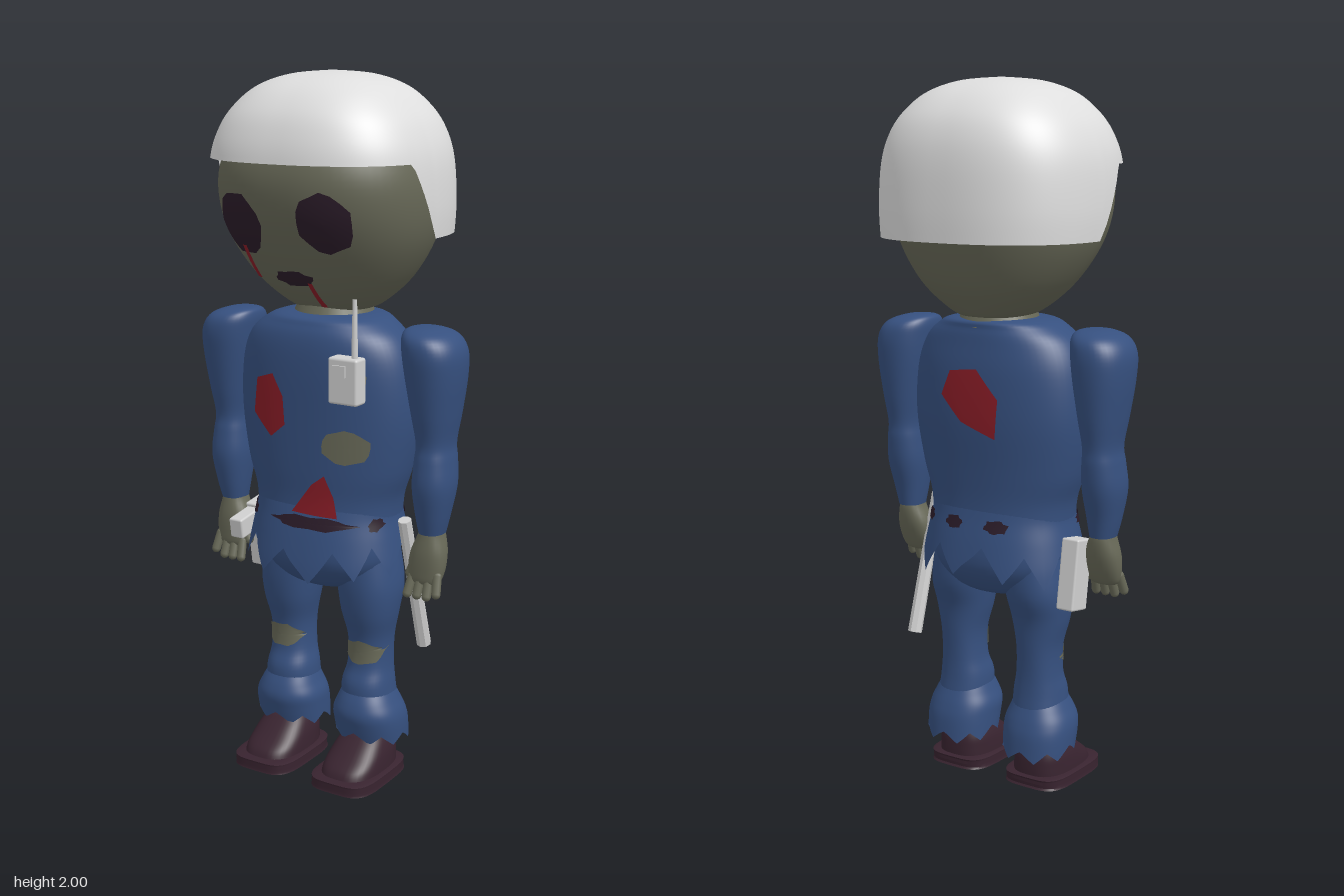
import * as THREE from 'three';
import { toCreasedNormals } from 'three/addons/utils/BufferGeometryUtils.js';
import { RoundedBoxGeometry } from 'three/addons/geometries/RoundedBoxGeometry.js';

const mat = (name, color) => {
  const m = new THREE.MeshStandardMaterial({ color, side: THREE.DoubleSide });
  m.name = name;
  return m;
};

// A cross-section is [y, centre x, half width, back z, front z]; sections run bottom to top.
function sample(S, v) {
  const i = Math.min(Math.floor(v), S.length - 2), t = v - i;
  const [a, b, c, d] = [S[Math.max(i - 1, 0)], S[i], S[i + 1], S[Math.min(i + 2, S.length - 1)]];
  return b.map((p, k) => p + 0.5 * t * (c[k] - a[k] + t * (2 * a[k] - 5 * p + 4 * c[k] - d[k]
    + t * (3 * (p - c[k]) + d[k] - a[k]))));
}

// Position along the sections for a given height
function vAt(S, y) {
  let lo = 0, hi = S.length - 1;
  for (let k = 0; k < 30; k++) {
    const m = (lo + hi) / 2;
    if (sample(S, m)[0] < y) lo = m; else hi = m;
  }
  return lo;
}

// Smooth skin over superelliptic sections; edge(angle) gives a shaped lower rim
function loft(S, { n = 2.3, segs = 40, sub = 5, edge } = {}) {
  const pos = [], idx = [], rows = (S.length - 1) * sub;
  const pw = (c) => Math.sign(c) * Math.abs(c) ** (2 / n);
  for (let j = 0; j <= rows; j++) for (let i = 0; i < segs; i++) {
    const a = (i / segs) * Math.PI * 2, v0 = edge ? vAt(S, edge(a)) : 0;
    const [y, cx, hx, zb, zf] = sample(S, v0 + (S.length - 1 - v0) * j / rows);
    pos.push(cx + Math.max(hx, 0) * pw(Math.cos(a)), y, (zb + zf) / 2 + Math.max(zf - zb, 0) / 2 * pw(Math.sin(a)));
    if (j < rows) {
      const p = j * segs + i, q = j * segs + (i + 1) % segs;
      idx.push(p, p + segs, q, q, p + segs, q + segs);
    }
  }
  const g = new THREE.BufferGeometry();
  g.setAttribute('position', new THREE.Float32BufferAttribute(pos, 3));
  g.setIndex(idx);
  g.computeVertexNormals();
  return g;
}

// Thin painted patch: an outline in x, y laid on the front (side 1) or back (-1) of a loft
function patch(S, outline, side = 1, n = 2.3, lift = 0.005) {
  const ring = [], pos = [], idx = [], K = 6;
  outline.forEach((p, i) => {
    const q = outline[(i + 1) % outline.length];
    for (let k = 0; k < 4; k++) ring.push([p[0] + (q[0] - p[0]) * k / 4, p[1] + (q[1] - p[1]) * k / 4]);
  });
  const N = ring.length;
  const mx = ring.reduce((s, p) => s + p[0], 0) / N, my = ring.reduce((s, p) => s + p[1], 0) / N;
  for (let k = 0; k <= K; k++) ring.forEach((p, i) => {
    const x = mx + (p[0] - mx) * k / K, y = my + (p[1] - my) * k / K;
    const [, cx, hx, zb, zf] = sample(S, vAt(S, y));
    const r = Math.max(0, 1 - Math.abs((x - cx) / hx) ** n) ** (1 / n);
    pos.push(x, y, (zb + zf) / 2 + side * ((zf - zb) / 2 * r + lift));
    if (k < K) {
      const a = k * N + i, b = k * N + (i + 1) % N;
      if (side > 0) idx.push(a, a + N, b, b, a + N, b + N);
      else idx.push(a, b, a + N, b, b + N, a + N);
    }
  });
  const g = new THREE.BufferGeometry();
  g.setAttribute('position', new THREE.Float32BufferAttribute(pos, 3));
  g.setIndex(idx);
  g.computeVertexNormals();
  return g;
}

// Slightly ragged oval outline, counter-clockwise
const blob = (x, y, rx, ry, wob = 0.05) => Array.from({ length: 16 }, (_, i) => {
  const a = i / 16 * Math.PI * 2, r = 1 + wob * Math.sin(i * 2.4 + x * 40);
  return [x + rx * r * Math.cos(a), y + ry * r * Math.sin(a)];
});
const strip = (x, y0, y1, w) => [[x - w, y0], [x + w, y0], [x + w * 0.8, y1], [x - w * 0.8, y1]];
const mirror = (S, s) => S.map(([y, cx, ...r]) => [y, cx * s, ...r]);

const HEAD = [[1.35, 0, 0, -0.03, -0.03], [1.355, 0, 0.08, -0.11, 0.05], [1.38, 0, 0.14, -0.145, 0.1],
  [1.45, 0, 0.218, -0.2, 0.17], [1.55, 0, 0.28, -0.243, 0.235], [1.65, 0, 0.303, -0.27, 0.277],
  [1.75, 0, 0.296, -0.275, 0.284], [1.85, 0, 0.25, -0.24, 0.24], [1.94, 0, 0.14, -0.14, 0.14], [1.96, 0, 0, 0, 0]];
const HELMET = [[1.55, 0, 0.318, -0.297, 0.29], [1.65, 0, 0.325, -0.299, 0.296], [1.77, 0, 0.318, -0.293, 0.296],
  [1.85, 0, 0.292, -0.276, 0.277], [1.91, 0, 0.25, -0.243, 0.243], [1.96, 0, 0.19, -0.185, 0.185],
  [1.99, 0, 0.105, -0.105, 0.105], [2, 0, 0, 0, 0]];
const TORSO = [[0.76, 0, 0.215, -0.14, 0.165], [0.84, 0, 0.222, -0.136, 0.16], [0.93, 0, 0.25, -0.14, 0.163],
  [1.07, 0, 0.272, -0.15, 0.166], [1.2, 0, 0.266, -0.148, 0.168], [1.28, 0, 0.24, -0.138, 0.163],
  [1.325, 0, 0.195, -0.13, 0.148], [1.35, 0, 0.135, -0.115, 0.12], [1.357, 0, 0, 0, 0]];
const HEM = [[0.6, 0, 0.248, -0.18, 0.205], [0.66, 0, 0.243, -0.172, 0.198], [0.73, 0, 0.23, -0.158, 0.184],
  [0.79, 0, 0.217, -0.143, 0.169], [0.83, 0, 0.217, -0.134, 0.158]];
const HIPS = [[0.56, 0, 0, 0.02, 0.02], [0.567, 0, 0.08, -0.07, 0.08], [0.6, 0, 0.16, -0.115, 0.125],
  [0.67, 0, 0.205, -0.145, 0.16], [0.8, 0, 0.2, -0.13, 0.15]];
const ARM = [[0.765, 0.333, 0.035, -0.03, 0.055], [0.82, 0.335, 0.046, -0.04, 0.068], [0.9, 0.337, 0.057, -0.06, 0.082],
  [0.97, 0.336, 0.053, -0.067, 0.076], [1.02, 0.335, 0.049, -0.067, 0.07], [1.1, 0.335, 0.062, -0.08, 0.085],
  [1.2, 0.334, 0.077, -0.092, 0.102], [1.27, 0.33, 0.081, -0.094, 0.11], [1.312, 0.317, 0.07, -0.08, 0.1],
  [1.332, 0.3, 0.042, -0.04, 0.065], [1.336, 0.3, 0, 0.015, 0.015]];
const PALM = [[0.62, 0.325, 0, 0.04, 0.04], [0.626, 0.325, 0.04, 0.015, 0.058], [0.66, 0.325, 0.054, -0.005, 0.062],
  [0.71, 0.328, 0.052, -0.022, 0.062], [0.76, 0.332, 0.036, -0.028, 0.055], [0.79, 0.333, 0.03, -0.02, 0.05]];
const LEG = [[0.1, 0.133, 0.06, -0.06, 0.06], [0.2, 0.133, 0.075, -0.075, 0.085], [0.28, 0.13, 0.073, -0.068, 0.09],
  [0.34, 0.132, 0.063, -0.065, 0.07], [0.42, 0.133, 0.063, -0.068, 0.07], [0.5, 0.133, 0.08, -0.075, 0.09],
  [0.58, 0.13, 0.09, -0.098, 0.1], [0.68, 0.115, 0.09, -0.1, 0.1]];
const CUFF = [[0.09, 0.135, 0.1, -0.105, 0.085], [0.16, 0.135, 0.103, -0.1, 0.105], [0.2, 0.133, 0.1, -0.09, 0.113],
  [0.235, 0.132, 0.085, -0.076, 0.104], [0.27, 0.13, 0.068, -0.06, 0.085]];
const SOLE = [[0, 0.133, 0, 0.07, 0.07], [0.003, 0.133, 0.09, -0.06, 0.2], [0.012, 0.133, 0.098, -0.068, 0.213],
  [0.03, 0.133, 0.098, -0.068, 0.213], [0.04, 0.133, 0.088, -0.06, 0.2], [0.042, 0.133, 0, 0.07, 0.07]];
const SHOE = [[0.035, 0.133, 0.085, -0.06, 0.195], [0.06, 0.133, 0.083, -0.06, 0.18], [0.09, 0.133, 0.078, -0.058, 0.14],
  [0.12, 0.133, 0.066, -0.05, 0.1], [0.135, 0.133, 0.05, -0.04, 0.075], [0.14, 0.133, 0, 0.02, 0.02]];

export function createModel() {
  const model = new THREE.Group();
  const skin = mat('grey green skin', 0x676857), cloth = mat('blue cloth', 0x36507f), white = mat('white shell', 0xdedede),
    dark = mat('dark hollow', 0x2b1c29), blood = mat('blood red', 0x8a1d27), leather = mat('dark shoe', 0x38232f),
    gear = mat('light grey gear', 0xcfcfcf);
  const add = (name, geo, m, parent = model) => {
    const mesh = new THREE.Mesh(geo, m);
    mesh.name = name;
    parent.add(mesh);
    return mesh;
  };

  // Head and face
  add('head', loft(HEAD, { segs: 64 }), skin);
  add('neck', new THREE.CylinderGeometry(0.1, 0.12, 0.05, 32).translate(0, 1.355, -0.01), skin);
  add('rightEye', patch(HEAD, blob(-0.14, 1.605, 0.084, 0.085)), dark);
  add('leftEye', patch(HEAD, blob(0.13, 1.62, 0.072, 0.08)), dark);
  add('mouth', patch(HEAD, blob(-0.005, 1.46, 0.06, 0.022, 0.12)), dark);
  add('eyeDrip', patch(HEAD, strip(-0.14, 1.45, 1.545, 0.01), 1, 2.3, 0.009), blood);
  add('mouthDrip', patch(HEAD, strip(0.04, 1.375, 1.45, 0.008), 1, 2.3, 0.009), blood);

  // Helmet: high over the face, low at the sides and back
  const helmetEdge = (a) => 1.57 + 0.2 * THREE.MathUtils.clamp(
    (0.3 * Math.sign(Math.sin(a)) * Math.abs(Math.sin(a)) ** 0.8 - 0.005) / 0.1, 0, 1);
  add('helmet', loft(HELMET, { n: 2.5, segs: 128, edge: helmetEdge }), white);

  // Body with torn jacket hem
  add('torso', loft(TORSO, { segs: 64 }), cloth);
  add('hips', loft(HIPS), cloth);
  const tooth = (a, k) => Math.abs(((a * k / Math.PI / 2) % 1) * 2 - 1);
  add('jacketHem', loft(HEM, { segs: 132, edge: (a) => 0.625 + 0.085 * tooth(a, 11) + 0.012 * Math.sin(a * 3) }), cloth);

  // Stains and holes
  add('chestStain', patch(TORSO, [[-0.1, 1.01], [-0.05, 1.05], [-0.055, 1.13], [-0.09, 1.19], [-0.15, 1.17], [-0.165, 1.07]]), blood);
  add('bellyStain', patch(TORSO, [[-0.03, 0.805], [0.11, 0.8], [0.1, 0.86], [0.075, 0.92], [0.035, 0.89]]), blood);
  add('backStain', patch(TORSO, [[-0.08, 1.03], [0.03, 1.07], [0.1, 1.14], [0.07, 1.21], [-0.02, 1.22], [-0.09, 1.14]].map(([x, y]) => [x, y]), -1), blood);
  add('bellyHole', patch(TORSO, blob(0.135, 1.005, 0.068, 0.048)), skin);
  add('chestHole', patch(TORSO, blob(0.145, 1.19, 0.048, 0.042)), skin);
  for (const [x, w, side] of [[0.035, 0.12, 1], [-0.19, 0.025, 1], [0.2, 0.012, 1], [-0.08, 0.035, -1], [0.06, 0.03, -1], [0.17, 0.02, -1]])
    add('waistTear', patch(HEM, blob(x, 0.782, w, 0.018, 0.15), side, 2.3, 0.007), dark);

  // Limbs
  for (const s of [1, -1]) {
    const side = s > 0 ? 'left' : 'right';
    const leg = mirror(LEG, s);
    add(side + 'Arm', loft(mirror(ARM, s)), cloth);
    const hand = new THREE.Group();
    hand.name = side + 'Hand';
    model.add(hand);
    add('palm', loft(mirror(PALM, s), { segs: 24 }), skin, hand);
    for (let i = 0; i < 4; i++) {
      const f = add('finger', new THREE.CapsuleGeometry(0.013, 0.05, 4, 10), skin, hand);
      f.position.set(s * (0.286 + i * 0.028), 0.615 + (i === 3 ? 0.012 : 0), 0.052);
      f.rotation.set(-0.35, 0, s * (i - 1.5) * 0.08);
    }
    const thumb = add('thumb', new THREE.CapsuleGeometry(0.015, 0.05, 4, 10), skin, hand);
    thumb.position.set(s * 0.285, 0.665, 0.03);
    thumb.rotation.z = -s * 0.4;

    add(side + 'Leg', loft(leg), cloth);
    add(side + 'KneeHole', patch(leg, blob(s * 0.135, 0.385, 0.06, 0.035, 0.08)), skin);
    add(side + 'Cuff', loft(mirror(CUFF, s), { segs: 80, edge: (a) => 0.105 + 0.03 * tooth(a, 8) + 0.012 * Math.sin(a) }), cloth);
    add(side + 'Sole', toCreasedNormals(loft(mirror(SOLE, s), { n: 4, sub: 2 }), 0.7), leather);
    add(side + 'Shoe', loft(mirror(SHOE, s), { n: 2.8 }), leather);
  }

  // Radio with aerial, held off the chest
  const radio = new THREE.Group();
  radio.name = 'radio';
  model.add(radio);
  add('radioBody', new RoundedBoxGeometry(0.09, 0.125, 0.05, 2, 0.008).translate(0.195, 1.217, 0.238), gear, radio);
  add('radioScreen', new THREE.BoxGeometry(0.04, 0.03, 0.008).translate(0.187, 1.245, 0.264), gear, radio);
  add('aerial', new THREE.CylinderGeometry(0.006, 0.009, 0.155, 10).translate(0.22, 1.355, 0.24), gear, radio);

  // Baton in the left hand
  const baton = add('baton', toCreasedNormals(new THREE.CylinderGeometry(0.019, 0.021, 0.42, 8), 0.5), gear);
  baton.position.set(0.267, 0.597, -0.008);
  baton.rotation.x = 0.29;

  // Sidearm pointing down in the right hand
  const gun = new THREE.Group();
  gun.name = 'sidearm';
  model.add(gun);
  add('slide', new RoundedBoxGeometry(0.055, 0.2, 0.075, 2, 0.006), gear, gun);
  add('grip', new RoundedBoxGeometry(0.045, 0.06, 0.12, 2, 0.006).translate(0, 0.06, 0.07), gear, gun);
  gun.position.set(-0.266, 0.655, -0.03);
  gun.rotation.x = 0.15;
  return model;
}
